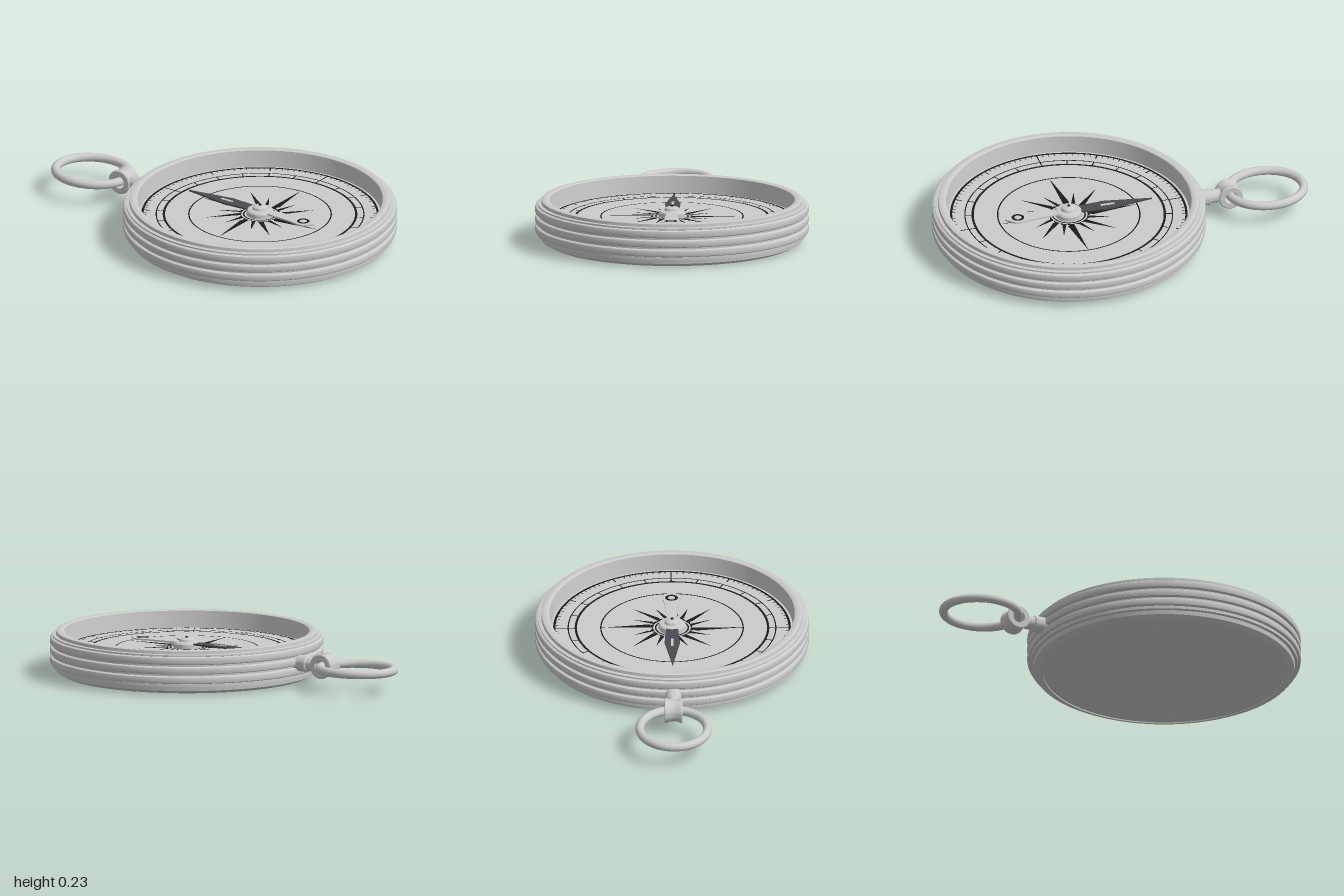
import * as THREE from 'three';
import { mergeGeometries, toCreasedNormals } from 'three/addons/utils/BufferGeometryUtils.js';

const DIAL_Y = 0.137;
const DIAL_R = 0.63;
const grey = new THREE.MeshStandardMaterial({ color: 0xcccccc });
const greyDouble = new THREE.MeshStandardMaterial({ color: 0xcccccc, side: THREE.DoubleSide });
const ink = new THREE.MeshStandardMaterial({ color: 0x1c1c1c, side: THREE.DoubleSide });
const steel = new THREE.MeshStandardMaterial({ color: 0x4a4a50 });

function add(parent, name, geometry, material = grey) {
  const mesh = new THREE.Mesh(geometry, material);
  mesh.name = name;
  parent.add(mesh);
  return mesh;
}

const lathe = (points, segments = 128) => toCreasedNormals(
  new THREE.LatheGeometry(points.map(([r, y]) => new THREE.Vector2(r, y)), segments), 0.6);

// Flat plan shapes: shape x = east, shape y = north
const lay = (geometry, y) => geometry.rotateX(-Math.PI / 2).translate(0, y, 0);
const polygon = (pts) => new THREE.Shape(pts.map(([x, y]) => new THREE.Vector2(x, y)));
const circleLine = (r, w) => lay(new THREE.RingGeometry(r - w / 2, r + w / 2, 128), DIAL_Y + 0.0015);
const tick = (angle, r0, r1, w) => lay(
  new THREE.PlaneGeometry(w, r1 - r0).translate(0, (r0 + r1) / 2, 0).rotateZ(angle), DIAL_Y + 0.0015);

// Raised band around the case with small rounded shoulders
const band = (y0, y1) => [[0.696, y0], [0.705, y0 + 0.001], [0.71, y0 + 0.005], [0.712, y0 + 0.012],
  [0.712, y1 - 0.012], [0.71, y1 - 0.005], [0.705, y1 - 0.001], [0.696, y1]];

function buildCase(parent) {
  add(parent, 'case', lathe([
    [0, 0.006], [0.63, 0.006], [0.63, 0], [0.64, 0], [0.655, 0.006], [0.677, 0.018], [0.68, 0.04], [0.697, 0.042],
    [0.697, 0.057], ...band(0.058, 0.098), ...band(0.108, 0.148), ...band(0.158, 0.2),
    [0.698, 0.201], [0.698, 0.209], [0.68, 0.211],
    [0.678, 0.227], [0.672, 0.23], [0.645, 0.23], [0.638, 0.226], [DIAL_R, DIAL_Y],
  ]));
  add(parent, 'dial', lay(new THREE.CircleGeometry(DIAL_R, 128), DIAL_Y));
}

function buildMarkings(parent) {
  const lines = [[0.085, 0.008], [0.105, 0.014], [0.37, 0.007], [0.5, 0.012], [0.54, 0.006], [0.612, 0.012]]
    .map(([r, w]) => circleLine(r, w));
  for (let i = 0; i < 120; i++) {
    const major = i % 10 === 0;
    lines.push(tick((i * Math.PI) / 60, major ? 0.575 : 0.59, 0.612, major ? 0.007 : 0.004));
  }
  for (let i = 0; i < 24; i++) lines.push(tick((i * Math.PI) / 12, 0.5, i % 6 ? 0.54 : 0.612, 0.006));
  add(parent, 'dialLines', mergeGeometries(lines), ink);

  // Compass rose: each point is half dark, half pale
  const dark = [], pale = [];
  for (let i = 0; i < 16; i++) {
    const [length, w] = i % 4 === 0 ? [0.37, 0.036] : i % 2 === 0 ? [0.29, 0.028] : [0.22, 0.02];
    const angle = (i * Math.PI) / 8;
    const half = (s) => lay(new THREE.ShapeGeometry(polygon(
      [[0, 0.1], [s * w, 0.115], [0, length]])).rotateZ(angle), DIAL_Y + 0.003);
    dark.push(half(1));
    pale.push(half(-1));
  }
  add(parent, 'roseDarkHalves', mergeGeometries(dark), ink);
  add(parent, 'rosePaleHalves', mergeGeometries(pale), greyDouble);
}

function buildNeedle(parent) {
  const needle = new THREE.Group();
  needle.name = 'needle';
  needle.position.y = DIAL_Y;
  parent.add(needle);
  const plate = (shape) => lay(new THREE.ExtrudeGeometry(shape,
    { depth: 0.008, bevelEnabled: false }), 0.02);

  // North arm with a pale inlay along the middle
  add(needle, 'northArm', plate(polygon(
    [[-0.03, 0.05], [0.03, 0.05], [0.04, 0.2], [0, 0.45], [-0.04, 0.2]])), steel);
  add(needle, 'northInlay', new THREE.BoxGeometry(0.014, 0.003, 0.075).translate(0, 0.029, -0.21));

  // South arm widening to a blunt point, marked with a dark ring
  add(needle, 'southArm', plate(polygon([[0.025, -0.05], [-0.025, -0.05], [-0.036, -0.21],
    [-0.048, -0.27], [-0.046, -0.3], [0, -0.345], [0.046, -0.3], [0.048, -0.27], [0.036, -0.21]])));
  add(needle, 'southRing', lay(new THREE.RingGeometry(0.019, 0.033, 32).translate(0, -0.275, 0), 0.0295), ink);

  // Hub and pivot cap
  add(needle, 'hub', lathe([[0, 0], [0.07, 0], [0.07, 0.022], [0.064, 0.03], [0.04, 0.033],
    [0.036, 0.045], [0.025, 0.051], [0.012, 0.053], [0, 0.053]], 48));
  add(needle, 'pivotPin', new THREE.SphereGeometry(0.008, 16, 8).translate(0, 0.053, 0), ink);
}

function buildHanger(parent) {
  // Stem pointing to the back, stepping down to a neck
  add(parent, 'stem', lathe([[0.043, 0.4], [0.043, 0.472], [0.04, 0.476], [0.036, 0.478],
    [0.036, 0.53], [0, 0.53]], 40)
    .rotateX(-Math.PI / 2).translate(0, 0.12, 0));

  // Spool-shaped eyelet lying across the stem
  const spool = [[0.034, -0.047], [0.06, -0.047], [0.065, -0.043], [0.065, -0.036], [0.059, -0.024],
    [0.057, 0], [0.059, 0.024], [0.065, 0.036], [0.065, 0.043], [0.06, 0.047], [0.034, 0.047],
    [0.026, 0], [0.034, -0.047]];
  add(parent, 'eyelet', lathe(spool, 48).rotateZ(Math.PI / 2).translate(0, 0.12, -0.578));

  // Slightly oval ring
  const path = new THREE.CatmullRomCurve3(Array.from({ length: 32 }, (_, i) => {
    const a = (i * Math.PI) / 16;
    return new THREE.Vector3(0.176 * Math.cos(a), 0.12, -0.777 + 0.2 * Math.sin(a));
  }), true);
  add(parent, 'hangingRing', new THREE.TubeGeometry(path, 96, 0.023, 20, true));
}

export function createModel() {
  const model = new THREE.Group();
  model.name = 'pocketCompass';
  const body = new THREE.Group();
  body.name = 'body';
  body.position.z = 0.288;
  model.add(body);
  buildCase(body);
  buildMarkings(body);
  buildNeedle(body);
  buildHanger(model);
  return model;
}
